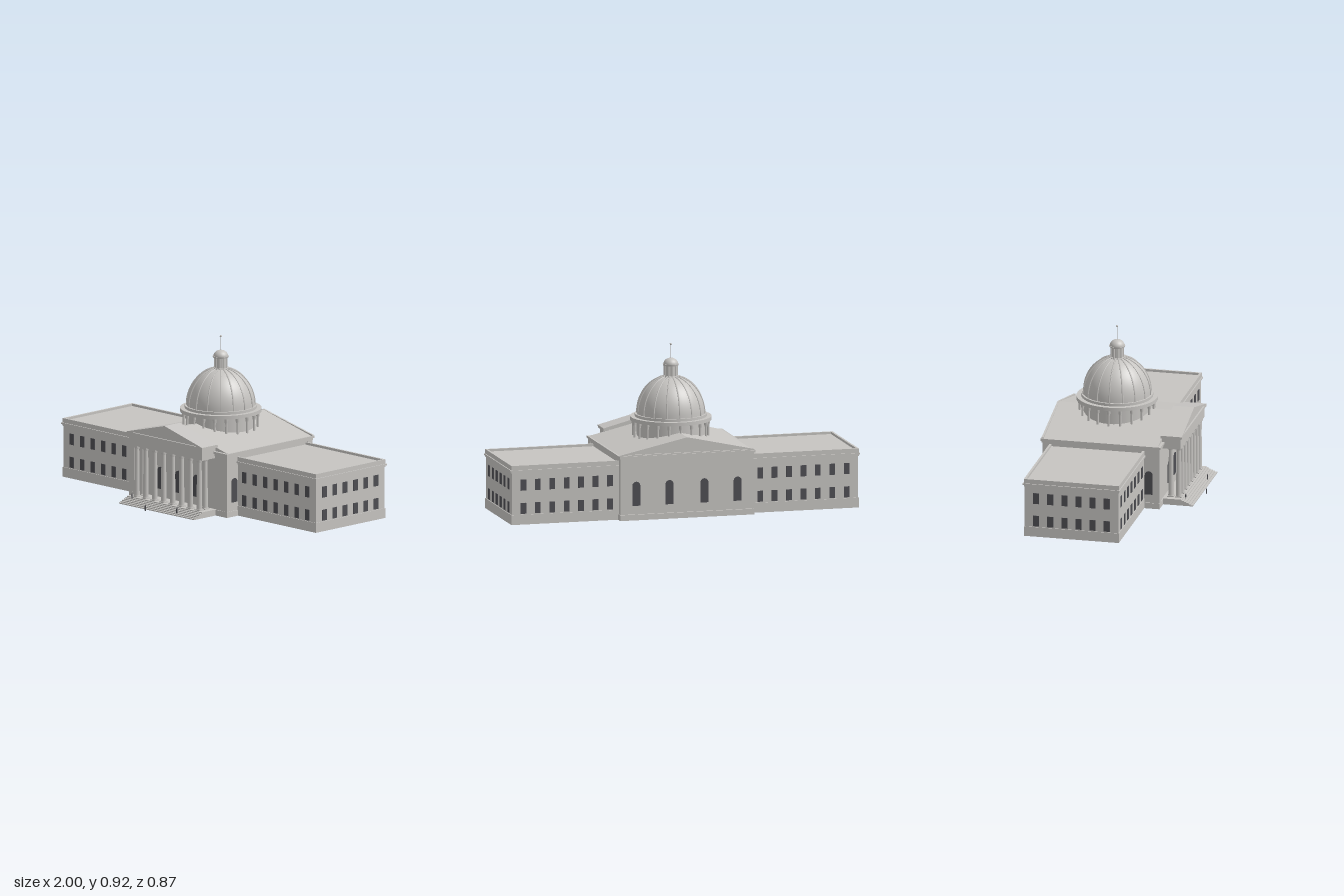
import * as THREE from 'three';

const stone = new THREE.MeshStandardMaterial({ color: 0xc6c4c1 });
stone.name = 'pale stone';
const glass = new THREE.MeshStandardMaterial({ color: 0x4e4e53 });
glass.name = 'dark glass';
const DOME_Z = -0.09;

function add(parent, name, geo, mat = stone, x = 0, y = 0, z = 0) {
  const m = new THREE.Mesh(geo, mat);
  m.name = name;
  m.position.set(x, y, z);
  parent.add(m);
  return m;
}

function group(parent, name) {
  const g = new THREE.Group();
  g.name = name;
  parent.add(g);
  return g;
}

// box given by its limits on each axis
function block(parent, name, x0, x1, y0, y1, z0, z1, mat = stone) {
  return add(parent, name, new THREE.BoxGeometry(x1 - x0, y1 - y0, z1 - z0), mat,
    (x0 + x1) / 2, (y0 + y1) / 2, (z0 + z1) / 2);
}

// triangular prism with its ridge along z
function gable(parent, name, half, y0, y1, z0, z1, edge = 0) {
  const s = new THREE.Shape();
  s.moveTo(-half, y0);
  s.lineTo(half, y0);
  if (edge) s.lineTo(half, y0 + edge);
  s.lineTo(0, y1);
  if (edge) s.lineTo(-half, y0 + edge);
  s.closePath();
  return add(parent, name, new THREE.ExtrudeGeometry(s, { depth: z1 - z0, bevelEnabled: false }), stone, 0, 0, z0);
}

// raking frame around a pediment
function pedimentFrame(parent, half, y0, y1, z0, z1, t) {
  const s = new THREE.Shape([[-half, y0], [half, y0], [half, y0 + t], [0, y1], [-half, y0 + t]]
    .map(p => new THREE.Vector2(...p)));
  s.holes.push(new THREE.Path([[-half + 5 * t, y0 + t], [0, y1 - 1.3 * t], [half - 5 * t, y0 + t]]
    .map(p => new THREE.Vector2(...p))));
  add(parent, 'pedimentFrame', new THREE.ExtrudeGeometry(s, { depth: z1 - z0, bevelEnabled: false }), stone, 0, 0, z0);
}

// arched plate, facing +z before rotation
function archWindow(parent, w, y0, y1, x, z, turn) {
  const s = new THREE.Shape();
  s.moveTo(-w / 2, y0);
  s.lineTo(w / 2, y0);
  s.lineTo(w / 2, y1 - w / 2);
  s.absarc(0, y1 - w / 2, w / 2, 0, Math.PI, false);
  s.closePath();
  const m = add(parent, 'archedWindow',
    new THREE.ExtrudeGeometry(s, { depth: 0.003, bevelEnabled: false, curveSegments: 8 }), glass, x, 0, z);
  m.rotation.y = turn;
}

function lathe(parent, name, pts, seg, x = 0, y = 0, z = 0) {
  return add(parent, name, new THREE.LatheGeometry(pts.map(p => new THREE.Vector2(...p)), seg), stone, x, y, z);
}

function buildMain(root) {
  const g = group(root, 'mainBlock');
  block(g, 'walls', -0.378, 0.378, 0, 0.35, -0.42, 0.235);
  block(g, 'plinth', -0.384, 0.384, 0, 0.032, -0.43, 0.24);
  block(g, 'cornice', -0.382, 0.382, 0.335, 0.348, -0.428, 0.24);
  block(g, 'corniceTop', -0.388, 0.388, 0.348, 0.36, -0.434, 0.246);
  gable(g, 'roof', 0.386, 0.358, 0.45, -0.418, 0.23);
  pedimentFrame(g, 0.386, 0.358, 0.451, -0.428, -0.417, 0.008);
  // corner pilasters
  for (const x of [-0.364, 0.364])
    for (const z of [-0.406, 0.222]) block(g, 'cornerPilaster', x - 0.017, x + 0.017, 0.03, 0.336, z - 0.017, z + 0.017);
  for (const s of [-1, 1]) archWindow(g, 0.044, 0.08, 0.215, s * 0.378, 0.178, s * Math.PI / 2);
  for (const x of [-0.29, -0.1, 0.1, 0.29]) archWindow(g, 0.045, 0.08, 0.215, x, -0.42, Math.PI);
  for (const x of [-0.14, 0, 0.14]) archWindow(g, 0.05, 0.08, 0.205, x, 0.235, 0);
}

function buildWing(root, side) {
  const g = group(root, side > 0 ? 'leftWing' : 'rightWing');
  const b = (name, x0, x1, ...r) => block(g, name, Math.min(side * x0, side * x1), Math.max(side * x0, side * x1), ...r);
  b('walls', 0.37, 0.99, 0.05, 0.318, -0.38, 0.15);
  b('plinth', 0.37, 0.994, 0, 0.055, -0.384, 0.154);
  b('lowerBand', 0.37, 0.994, 0.288, 0.296, -0.384, 0.154);
  b('cornice', 0.37, 1, 0.297, 0.306, -0.39, 0.16);
  // parapet round the flat roof
  b('parapetFront', 0.37, 0.994, 0.306, 0.331, 0.142, 0.154);
  b('parapetBack', 0.37, 0.994, 0.306, 0.331, -0.384, -0.372);
  b('parapetEnd', 0.982, 0.994, 0.306, 0.331, -0.372, 0.142);
  // two rows of windows on three sides
  for (const [y0, y1] of [[0.06, 0.121], [0.19, 0.252]]) {
    for (let i = 0; i < 7; i++) {
      const x = 0.43 + i * 0.0825;
      b('frontWindow', x - 0.016, x + 0.016, y0, y1, 0.148, 0.153, glass);
      b('backWindow', x - 0.016, x + 0.016, y0, y1, -0.383, -0.378, glass);
    }
    for (let i = 0; i < 6; i++) {
      const z = 0.085 - i * 0.08;
      b('endWindow', 0.988, 0.993, y0, y1, z - 0.017, z + 0.017, glass);
    }
  }
}

function column(parent, x, z) {
  const g = group(parent, 'porticoColumn');
  block(g, 'columnBase', x - 0.018, x + 0.018, 0.033, 0.04, z - 0.018, z + 0.018);
  lathe(g, 'shaft', [[0.017, 0.04], [0.0155, 0.047], [0.015, 0.15], [0.0125, 0.302], [0.0165, 0.314]], 14, x, 0, z);
  block(g, 'capital', x - 0.018, x + 0.018, 0.314, 0.323, z - 0.018, z + 0.018);
}

function buildPortico(root) {
  const g = group(root, 'portico');
  block(g, 'platform', -0.295, 0.295, 0, 0.034, 0.23, 0.345);
  const n = 5;
  for (let i = 0; i < n; i++)
    block(g, 'step', -0.295, 0.295, 0, 0.028 - i * 0.0055, 0.34, 0.357 + i * 0.0128);
  for (let i = 0; i < 8; i++) column(g, -0.245 + i * 0.07, 0.317);
  for (const x of [-0.245, 0.245]) column(g, x, 0.273);
  block(g, 'entablature', -0.285, 0.285, 0.322, 0.386, 0.225, 0.336);
  block(g, 'porticoCornice', -0.296, 0.296, 0.383, 0.392, 0.225, 0.345);
  gable(g, 'porticoRoof', 0.296, 0.39, 0.475, 0.226, 0.337, 0.008);
  pedimentFrame(g, 0.296, 0.39, 0.475, 0.336, 0.346, 0.008);
}

function buildDome(root) {
  const g = group(root, 'dome');
  g.position.z = DOME_Z;
  add(g, 'drum', new THREE.CylinderGeometry(0.188, 0.188, 0.14, 48), stone, 0, 0.43, 0);
  // colonnade round the drum
  for (let i = 0; i < 20; i++) {
    const a = i * Math.PI / 10, x = Math.sin(a) * 0.207, z = Math.cos(a) * 0.207;
    lathe(g, 'drumColumn', [[0.007, 0.39], [0.006, 0.46], [0.01, 0.474], [0.011, 0.497]], 8, x, 0, z);
  }
  add(g, 'ring', new THREE.CylinderGeometry(0.225, 0.225, 0.02, 48), stone, 0, 0.503, 0);
  add(g, 'upperRing', new THREE.CylinderGeometry(0.199, 0.199, 0.016, 48), stone, 0, 0.52, 0);
  // shell profile, shared by the ribs
  const at = (t, k = 0) => [(0.188 + k) * Math.cos(t), 0.528 + (0.21 + k) * Math.sin(t)];
  const angles = Array.from({ length: 17 }, (_, i) => i / 16 * 1.36);
  lathe(g, 'domeShell', angles.map(t => at(t)), 48);
  const path = new THREE.CatmullRomCurve3(angles.map(t => new THREE.Vector3(...at(t, 0.001), 0)));
  const rib = new THREE.TubeGeometry(path, 20, 0.0042, 5);
  for (let i = 0; i < 16; i++) add(g, 'domeRib', rib).rotation.y = i * Math.PI / 8;
  // lantern, cap and spire
  add(g, 'lanternBase', new THREE.CylinderGeometry(0.042, 0.044, 0.01, 24), stone, 0, 0.734, 0);
  add(g, 'lantern', new THREE.CylinderGeometry(0.034, 0.034, 0.07, 24), stone, 0, 0.765, 0);
  for (let i = 0; i < 10; i++) {
    const a = i * Math.PI / 5;
    add(g, 'lanternColumn', new THREE.CylinderGeometry(0.005, 0.005, 0.06, 6), stone,
      Math.sin(a) * 0.034, 0.767, Math.cos(a) * 0.034);
  }
  add(g, 'lanternCornice', new THREE.CylinderGeometry(0.045, 0.043, 0.008, 24), stone, 0, 0.799, 0);
  const cap = new THREE.SphereGeometry(0.041, 24, 8, 0, Math.PI * 2, 0, Math.PI / 2);
  cap.scale(1, 0.85, 1);
  add(g, 'lanternCap', cap, stone, 0, 0.802, 0);
  add(g, 'spire', new THREE.CylinderGeometry(0.0018, 0.0025, 0.08, 8), stone, 0, 0.873, 0);
  add(g, 'spireBall', new THREE.SphereGeometry(0.006, 12, 8), stone, 0, 0.914, 0);
}

// tiny visitors near the steps
function buildVisitors(root) {
  for (const [x, y, z] of [[-0.064, 0, 0.431], [0.14, 0.01, 0.388], [-0.245, 0.022, 0.356]]) {
    const g = group(root, 'visitor');
    g.position.set(x, y, z);
    for (const s of [-1, 1]) block(g, 'leg', s * 0.002 - 0.0013, s * 0.002 + 0.0013, 0, 0.014, -0.0015, 0.0015, glass);
    add(g, 'body', new THREE.CylinderGeometry(0.004, 0.003, 0.014, 8), glass, 0, 0.02, 0);
    add(g, 'head', new THREE.SphereGeometry(0.0028, 8, 6), glass, 0, 0.031, 0);
  }
}

export function createModel() {
  const root = new THREE.Group();
  root.name = 'domedBuilding';
  buildMain(root);
  buildWing(root, 1);
  buildWing(root, -1);
  buildPortico(root);
  buildDome(root);
  buildVisitors(root);
  return root;
}
